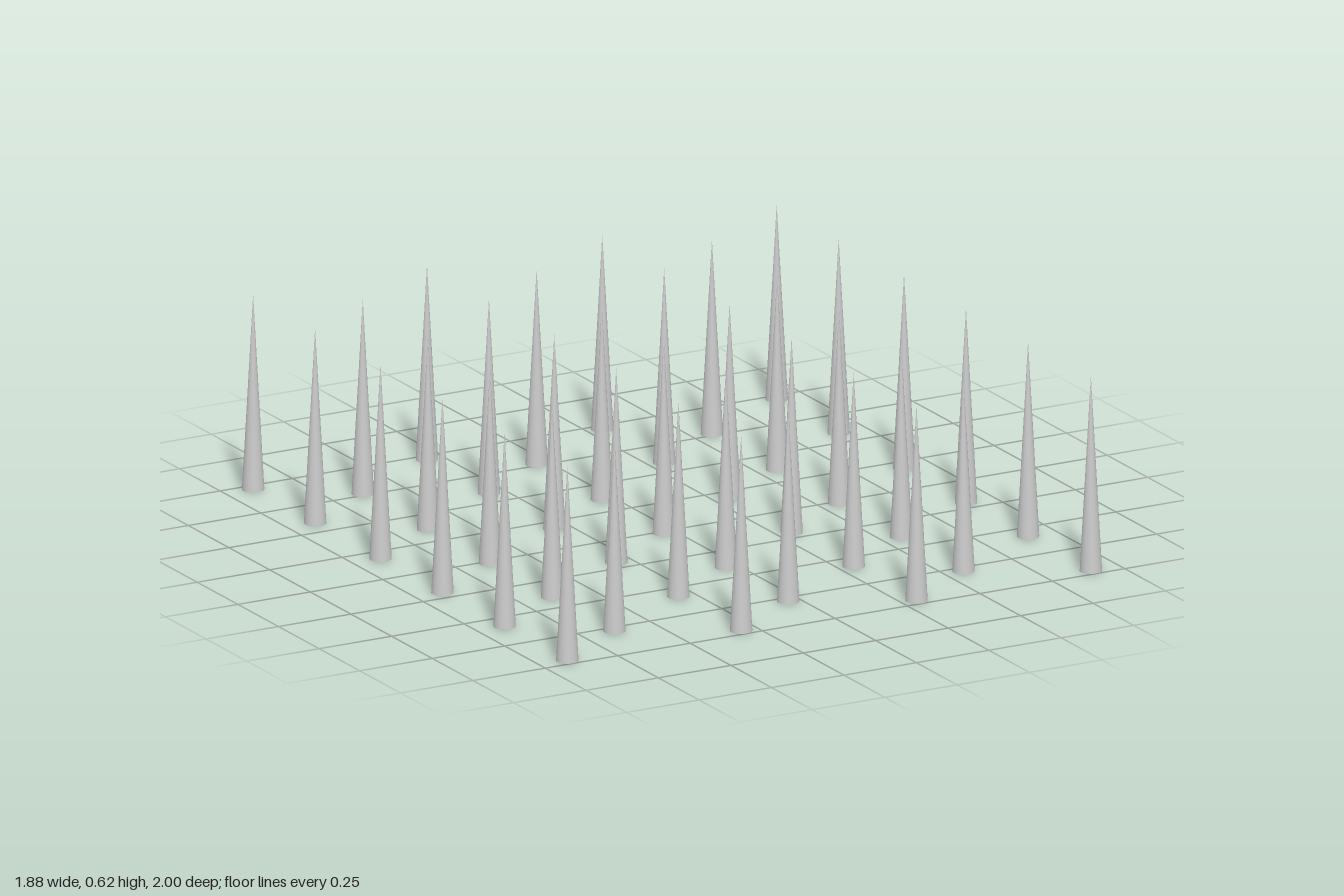
import * as THREE from 'three';

const RADIUS = 0.034;
const HEIGHT = 0.617;

// Two interleaved grids of spikes
const GRIDS = [
  { name: 'mainSpike', xs: [-0.905, -0.305, 0.3, 0.902], zs: [-0.966, -0.585, -0.183, 0.198, 0.58, 0.966] },
  { name: 'offsetSpike', xs: [-0.64, -0.04, 0.565], zs: [-0.764, -0.363, 0.018, 0.4, 0.783] },
];

export function createModel() {
  const group = new THREE.Group();
  group.name = 'spikeField';
  const material = new THREE.MeshStandardMaterial({ color: 0xcccccc });

  // Slender closed cone standing on the ground
  const spike = new THREE.ConeGeometry(RADIUS, HEIGHT, 16);
  spike.translate(0, HEIGHT / 2, 0);

  for (const { name, xs, zs } of GRIDS) {
    xs.forEach((x, column) => zs.forEach((z, row) => {
      const mesh = new THREE.Mesh(spike, material);
      mesh.name = `${name}_${column + 1}_${row + 1}`;
      mesh.position.set(x, 0, z);
      group.add(mesh);
    }));
  }
  return group;
}
